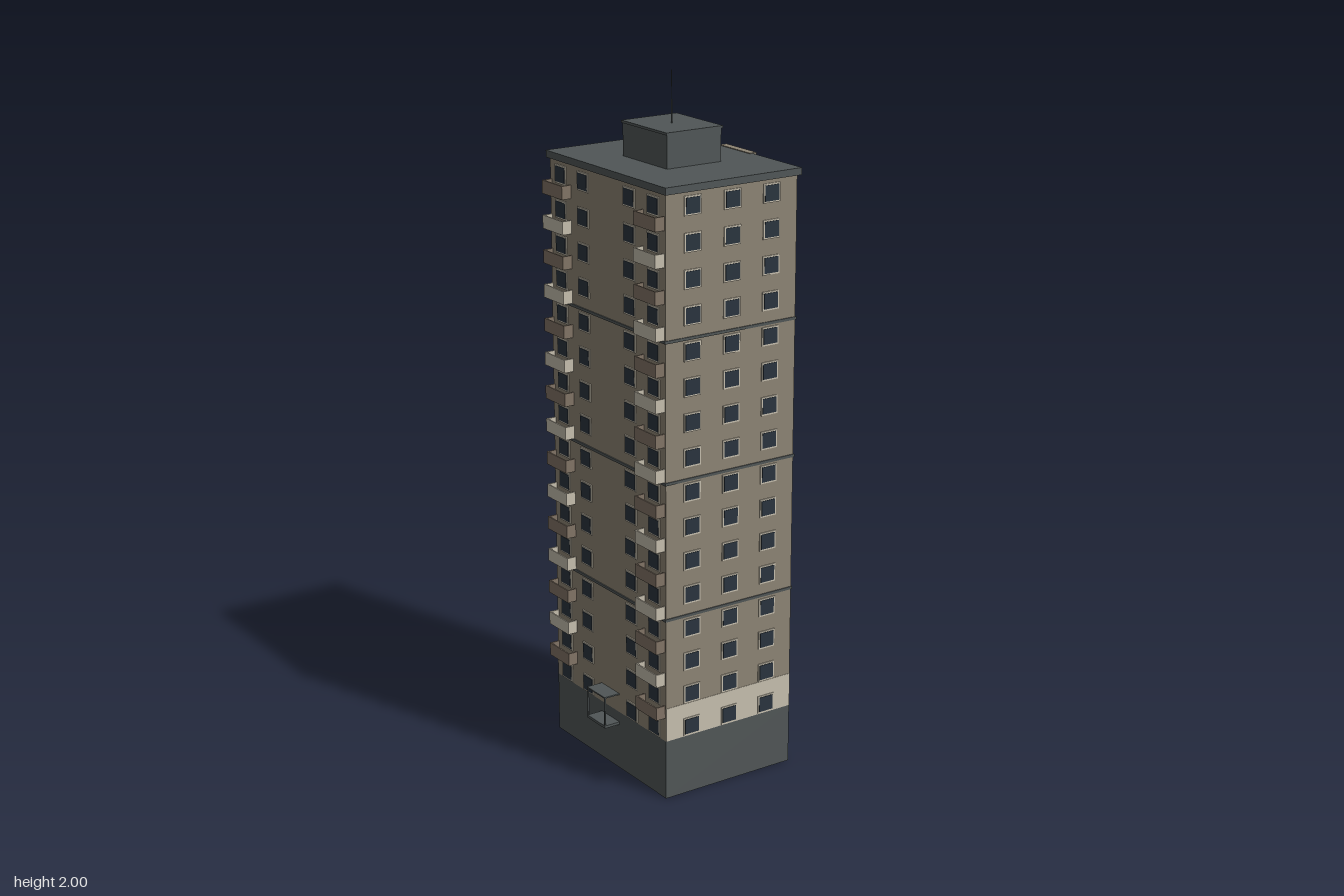
import * as THREE from 'three';
import { mergeGeometries } from 'three/addons/utils/BufferGeometryUtils.js';

const material = (name, color, side = THREE.FrontSide) => {
  const m = new THREE.MeshStandardMaterial({ color, side });
  m.name = name;
  return m;
};

// Box given by its min and max corners
function span(x0, x1, y0, y1, z0, z1) {
  return new THREE.BoxGeometry(x1 - x0, y1 - y0, z1 - z0)
    .translate((x0 + x1) / 2, (y0 + y1) / 2, (z0 + z1) / 2);
}

export function createModel() {
  const wall = material('tan wall', 0x8d8474);
  const slate = material('slate grey', 0x505657);
  const cream = material('cream', 0xc6bfae);
  const brown = material('brown parapet', 0x827466);
  const glass = material('dark glass', 0x2a343e);

  const model = new THREE.Group();
  model.name = 'towerBlock';
  const add = (name, mat, ...geometries) => {
    const mesh = new THREE.Mesh(mergeGeometries(geometries), mat);
    mesh.name = name;
    model.add(mesh);
  };

  // Main block
  const X0 = -0.229, X1 = 0.201, Z = 0.283, CX = (X0 + X1) / 2;
  const BASE = 0.176, TOP = 1.736, FLOOR = 0.0995;
  add('base', slate, span(X0, X1, 0, BASE, -Z, Z));
  add('walls', wall, span(X0, X1, BASE, TOP, -Z, Z));
  add('groundFloorPanels', cream, ...[-1, 1].map(s =>
    new THREE.BoxGeometry(X1 - X0, FLOOR, 0.002).translate(CX, BASE + FLOOR / 2, s * Z)));
  add('stairTower', wall, span(X1 - 0.003, 0.221, BASE, 1.758, -0.071, 0.071));

  // Dividing bands every four floors
  add('floorBands', slate, ...[0.541, 0.938, 1.336].map(y =>
    span(X0 - 0.003, X1 + 0.003, y - 0.004, y + 0.004, -Z - 0.003, Z + 0.003)));

  // Roof, plant room and mast
  add('roof', slate, span(X0 - 0.007, X1 + 0.007, TOP, 1.756, -0.294, 0.294));
  add('plantRoom', slate, span(CX - 0.089, CX + 0.089, 1.756, 1.85, -0.107, 0.107));
  add('plantRoomCap', slate, span(CX - 0.092, CX + 0.092, 1.848, 1.855, -0.11, 0.11));
  add('mast', slate,
    new THREE.CylinderGeometry(0.0025, 0.0025, 0.065, 8).translate(CX, 1.8875, 0),
    new THREE.CylinderGeometry(0.0012, 0.0012, 0.085, 8).translate(CX, 1.9575, 0));

  // Windows: sixteen floors on all four walls
  const frames = [], panes = [];
  const addWindow = (x, y, z, angle) => {
    const place = g => g.rotateY(angle).translate(x, y, z);
    frames.push(place(new THREE.BoxGeometry(0.055, 0.053, 0.006)));
    panes.push(place(new THREE.BoxGeometry(0.046, 0.044, 0.009)));
  };
  for (let i = 0; i < 16; i++) {
    const y = 0.205 + i * FLOOR;
    for (const s of [-1, 1])
      for (const dx of [-0.129, 0, 0.129]) addWindow(CX + dx, y, s * Z, 0);
    for (const x of [X0, X1])
      for (const z of [-0.228, -0.114, 0.114, 0.228]) addWindow(x, y, z, Math.PI / 2);
  }
  add('windowFrames', cream, ...frames);
  add('windowPanes', glass, ...panes);

  // Two stacks of balconies with alternating parapet colours
  const slabs = [], parapets = [[], []];
  const B0 = -0.259, T = 0.004;
  for (let i = 0; i < 15; i++) {
    const y = 0.246 + i * FLOOR, h = y + 0.038;
    for (const s of [-1, 1]) {
      const z0 = s * 0.2275 - 0.0515, z1 = s * 0.2275 + 0.0515;
      slabs.push(span(B0 + T, X0, y, y + 0.006, z0 + T, z1 - T));
      parapets[i % 2].push(
        span(B0, B0 + T, y, h, z0, z1),
        span(B0 + T, X0, y, h, z0, z0 + T),
        span(B0 + T, X0, y, h, z1 - T, z1));
    }
  }
  add('balconySlabs', slate, ...slabs);
  add('brownParapets', brown, ...parapets[0]);
  add('creamParapets', cream, ...parapets[1]);

  // Entrance porches: step, thin roof and two slim posts on each side
  const porches = [];
  for (const [inner, outer] of [[X0, -0.279], [X1, 0.279]]) {
    const a = Math.min(inner, outer), b = Math.max(inner, outer);
    porches.push(
      span(a, b, 0.137, 0.145, -0.046, 0.046),
      span(a, b, 0.23, 0.234, -0.046, 0.046));
    const px = outer - Math.sign(outer) * 0.002;
    for (const z of [-0.044, 0.044])
      porches.push(span(px - 0.002, px + 0.002, 0.145, 0.23, z - 0.002, z + 0.002));
  }
  add('entrancePorches', slate, ...porches);

  return model;
}
